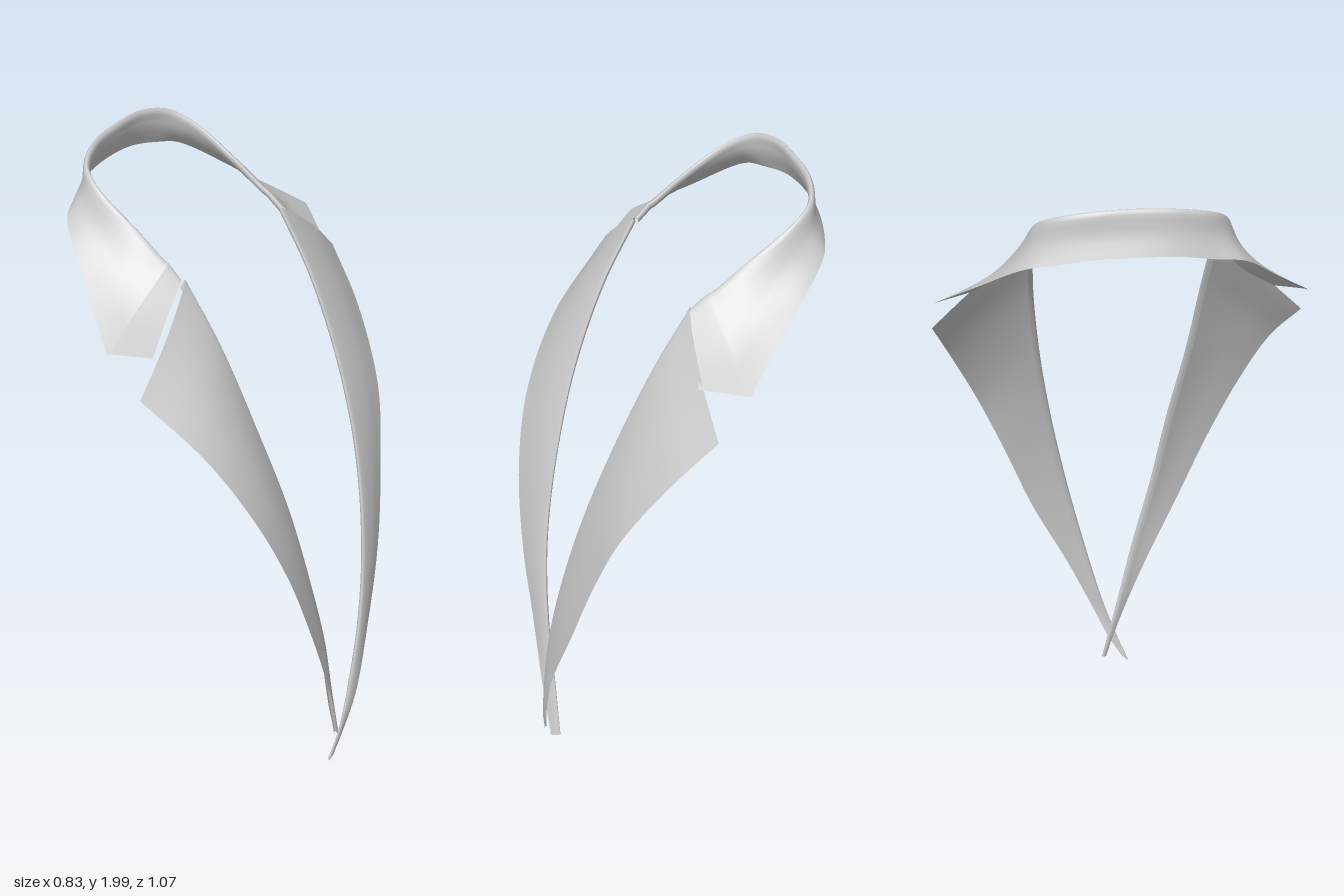
import * as THREE from 'three';

const material = new THREE.MeshStandardMaterial({ color: 0xcccccc, side: THREE.DoubleSide });

// Sheet lofted along rows of [fold x,y,z, outer edge x,y,z]; the fold edge rolls under into a small lip.
function clothStrip(name, rows, bulge, lip) {
  const fold = new THREE.CatmullRomCurve3(rows.map(r => new THREE.Vector3(r[0], r[1], r[2])));
  const edge = new THREE.CatmullRomCurve3(rows.map(r => new THREE.Vector3(r[3], r[4], r[5])));
  const along = (rows.length - 1) * 8, across = 16;
  const positions = [], indices = [];
  for (let i = 0; i <= along; i++) {
    const t = i / along;
    const a = fold.getPoint(t), b = edge.getPoint(t);
    const width = a.distanceTo(b);
    const d = b.clone().sub(a).normalize();
    const n = d.clone().cross(fold.getTangent(t)).normalize();
    const size = Math.min(lip, width * 0.3);
    const at = (u, v) => a.clone().addScaledVector(d, u).addScaledVector(n, v);
    const section = new THREE.CatmullRomCurve3([
      at(size * 1.5, -size),
      at(size * 0.4, -size * 0.8),
      at(0, -size * 0.3),
      at(size * 0.5, 0),
      at(width * 0.5, bulge * width),
      b,
    ]);
    for (let j = 0; j <= across; j++) {
      positions.push(...section.getPoint(j / across).toArray());
      if (i < along && j < across) {
        const p = i * (across + 1) + j, q = p + across + 1;
        indices.push(p, p + 1, q, p + 1, q + 1, q);
      }
    }
  }
  const geometry = new THREE.BufferGeometry();
  geometry.setAttribute('position', new THREE.Float32BufferAttribute(positions, 3));
  geometry.setIndex(indices);
  geometry.computeVertexNormals();
  const mesh = new THREE.Mesh(geometry, material);
  mesh.name = name;
  return mesh;
}

export function createModel() {
  const group = new THREE.Group();
  group.name = 'lapelCollar';

  // Collar, from the right notch round the back of the neck to the left notch
  group.add(clothStrip('collar', [
    [0.01, 1.73, -0.245, 0.045, 1.585, -0.415],
    [-0.035, 1.765, -0.247, -0.05, 1.604, -0.51],
    [-0.045, 1.77, -0.248, -0.06, 1.605, -0.52],
    [-0.055, 1.775, -0.248, -0.07, 1.613, -0.513],
    [-0.15, 1.845, -0.25, -0.21, 1.72, -0.4],
    [-0.28, 1.93, -0.245, -0.355, 1.83, -0.28],
    [-0.345, 1.967, -0.21, -0.388, 1.852, -0.21],
    [-0.38, 1.992, -0.12, -0.412, 1.874, -0.11],
    [-0.385, 2.0, 0, -0.42, 1.88, 0],
    [-0.38, 1.992, 0.13, -0.412, 1.874, 0.12],
    [-0.345, 1.967, 0.22, -0.388, 1.852, 0.22],
    [-0.28, 1.93, 0.26, -0.355, 1.83, 0.3],
    [-0.15, 1.845, 0.27, -0.22, 1.72, 0.415],
    [-0.06, 1.775, 0.27, -0.095, 1.618, 0.523],
    [-0.05, 1.77, 0.27, -0.085, 1.61, 0.53],
    [-0.045, 1.765, 0.27, -0.075, 1.608, 0.522],
    [-0.01, 1.73, 0.27, 0.008, 1.583, 0.45],
  ], -0.06, 0.02));

  // Left lapel, from the notch down to the tip
  group.add(clothStrip('leftLapel', [
    [0, 1.73, 0.265, 0.02, 1.5, 0.535],
    [0.1, 1.55, 0.25, 0.185, 1.33, 0.475],
    [0.2, 1.3, 0.225, 0.3, 1.12, 0.405],
    [0.28, 1.03, 0.18, 0.36, 0.9, 0.325],
    [0.335, 0.75, 0.135, 0.385, 0.66, 0.235],
    [0.36, 0.5, 0.08, 0.388, 0.42, 0.135],
    [0.36, 0.25, 0.025, 0.39, 0.22, 0.06],
    [0.36, 0.05, -0.02, 0.385, 0.04, 0],
  ], 0.04, 0.015));

  // Right lapel, from the tip up to the notch, lapping over the left one
  group.add(clothStrip('rightLapel', [
    [0.385, 0.01, 0.075, 0.39, 0.02, 0.055],
    [0.4, 0.11, 0.035, 0.4, 0.1, 0.008],
    [0.405, 0.25, -0.01, 0.412, 0.22, -0.045],
    [0.403, 0.5, -0.075, 0.4, 0.42, -0.13],
    [0.375, 0.75, -0.13, 0.37, 0.66, -0.24],
    [0.315, 1.03, -0.18, 0.325, 0.9, -0.325],
    [0.225, 1.3, -0.215, 0.265, 1.12, -0.405],
    [0.115, 1.55, -0.235, 0.15, 1.33, -0.48],
    [0.01, 1.73, -0.24, 0.03, 1.485, -0.53],
  ], 0.04, 0.015));

  return group;
}
